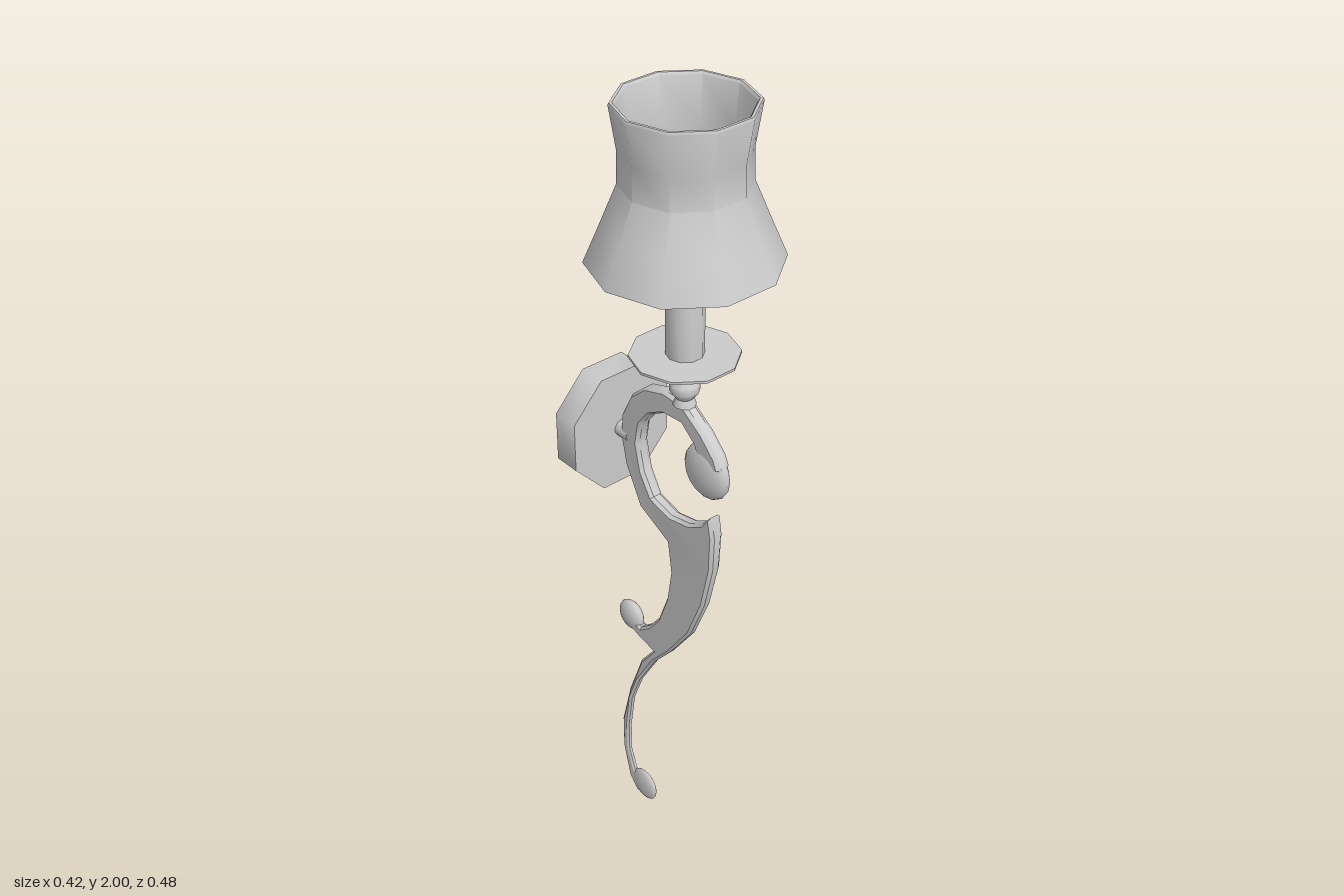
import * as THREE from 'three';
import { toCreasedNormals } from 'three/addons/utils/BufferGeometryUtils.js';

const material = new THREE.MeshStandardMaterial({ color: 0xcccccc });
const AXIS_Z = 0.042; // candle axis, forward of the wall arm

function addMesh(group, name, geometry, position = [0, 0, 0]) {
  const mesh = new THREE.Mesh(geometry, material);
  mesh.name = name;
  mesh.position.set(...position);
  group.add(mesh);
  return mesh;
}

// Ten-sided turned part from [radius, y] pairs, listed bottom to top on the outside
function turned(profile) {
  const points = profile.map(([r, y]) => new THREE.Vector2(r, y));
  return toCreasedNormals(new THREE.LatheGeometry(points, 10, Math.PI / 2), 0.7);
}

// Arm outline as [z, y] pairs
const armOutline = [
  // outside of the upper ring, from the front scroll round to the back
  [0.172, 1.205], [0.159, 1.233], [0.117, 1.275], [0.05, 1.32], [-0.011, 1.321],
  [-0.074, 1.3], [-0.122, 1.257], [-0.154, 1.194], [-0.159, 1.135], [-0.143, 1.061],
  [-0.095, 0.966], [0, 0.918],
  // back of the body down to the small curl
  [0.01, 0.838], [-0.005, 0.748], [-0.037, 0.663], [-0.074, 0.615], [-0.106, 0.589],
  [-0.14, 0.6], [-0.145, 0.568], [-0.111, 0.557], [-0.058, 0.546],
  // back of the tail, round the foot curl
  [-0.106, 0.483], [-0.154, 0.355], [-0.186, 0.228], [-0.186, 0.133], [-0.164, 0.042],
  [-0.133, 0.006], [-0.106, 0.03], [-0.143, 0.074],
  // front of the tail and body up to the tip
  [-0.164, 0.133], [-0.164, 0.218], [-0.149, 0.324], [-0.117, 0.408], [-0.058, 0.509],
  [0, 0.578], [0.074, 0.684], [0.122, 0.801], [0.149, 0.918], [0.154, 1.013], [0.142, 1.066],
  // inside of the upper ring
  [0.115, 1.035], [0.074, 1.01], [0.01, 0.997], [-0.053, 1.013], [-0.085, 1.066],
  [-0.101, 1.135], [-0.09, 1.194], [-0.058, 1.236], [-0.011, 1.263], [0.05, 1.268],
  [0.09, 1.235], [0.117, 1.172],
];

function armGeometry() {
  const shape = new THREE.Shape(armOutline.map(([z, y]) => new THREE.Vector2(z, y)));
  const geometry = new THREE.ExtrudeGeometry(shape, {
    depth: 1, bevelThickness: 0.5, bevelSize: 0.006, bevelOffset: -0.006, bevelSegments: 1,
  });
  geometry.translate(0, 0, -0.5);
  geometry.rotateY(-Math.PI / 2);
  // The arm grows thinner toward its foot
  const p = geometry.attributes.position;
  for (let i = 0; i < p.count; i++) {
    const t = THREE.MathUtils.clamp((p.getY(i) - 0.1) / 1.0, 0, 1);
    p.setX(i, p.getX(i) * THREE.MathUtils.lerp(0.007, 0.018, t));
  }
  return toCreasedNormals(geometry, 0.5);
}

export function createModel() {
  const model = new THREE.Group();
  model.name = 'wallSconce';

  // Lampshade with a thin wall and a rolled top rim
  addMesh(model, 'lampshade', turned([
    [0.208, 1.66], [0.172, 1.745], [0.137, 1.83], [0.135, 1.9], [0.15, 1.995],
    [0.148, 2], [0.142, 2], [0.138, 1.995], [0.126, 1.9], [0.127, 1.83],
    [0.161, 1.745], [0.197, 1.66], [0.208, 1.66],
  ]), [0, 0, AXIS_Z]);

  // Candle tube, socket neck and bulb
  addMesh(model, 'candle', turned([
    [0, 1.43], [0.042, 1.43], [0.042, 1.69], [0.037, 1.7], [0, 1.7],
  ]), [0, 0, AXIS_Z]);
  addMesh(model, 'bulb', turned([
    [0.021, 1.69], [0.021, 1.73], [0.042, 1.765], [0.052, 1.8], [0.046, 1.84],
    [0.028, 1.875], [0, 1.895],
  ]), [0, 0, AXIS_Z]);

  // Drip dish and the bead that carries it
  addMesh(model, 'dripDish', turned([
    [0, 1.38], [0.03, 1.38], [0.05, 1.395], [0.12, 1.432], [0.12, 1.438], [0, 1.438],
  ]), [0, 0, AXIS_Z]);
  addMesh(model, 'bead', turned([
    [0, 1.3], [0.026, 1.31], [0.02, 1.328], [0.033, 1.345], [0.033, 1.362],
    [0.019, 1.382], [0, 1.385],
  ]), [0, 0, AXIS_Z]);

  // Scrolled arm with flattened curl ends
  addMesh(model, 'arm', armGeometry());
  const curls = [
    ['upperCurl', 0.117, 1.174, 0.068, 0.027],
    ['middleCurl', -0.15, 0.598, 0.041, 0.019],
    ['footCurl', -0.108, 0.046, 0.045, 0.012],
  ];
  for (const [name, z, y, radius, halfWidth] of curls) {
    const curl = new THREE.SphereGeometry(1, 16, 10);
    curl.rotateZ(Math.PI / 2);
    curl.scale(halfWidth, radius, radius);
    addMesh(model, name, curl, [0, y, z]);
  }

  // Octagonal wall plate and its short stem
  const plate = new THREE.CylinderGeometry(0.158, 0.158, 0.066, 8);
  plate.rotateY(Math.PI / 8);
  plate.rotateX(Math.PI / 2);
  plate.scale(0.92, 1, 1);
  addMesh(model, 'wallPlate', toCreasedNormals(plate, 0.9), [0, 1.138, -0.207]);
  const stem = new THREE.CylinderGeometry(0.021, 0.021, 0.05, 10);
  stem.rotateX(Math.PI / 2);
  addMesh(model, 'stem', stem, [0, 1.138, -0.16]);

  return model;
}
